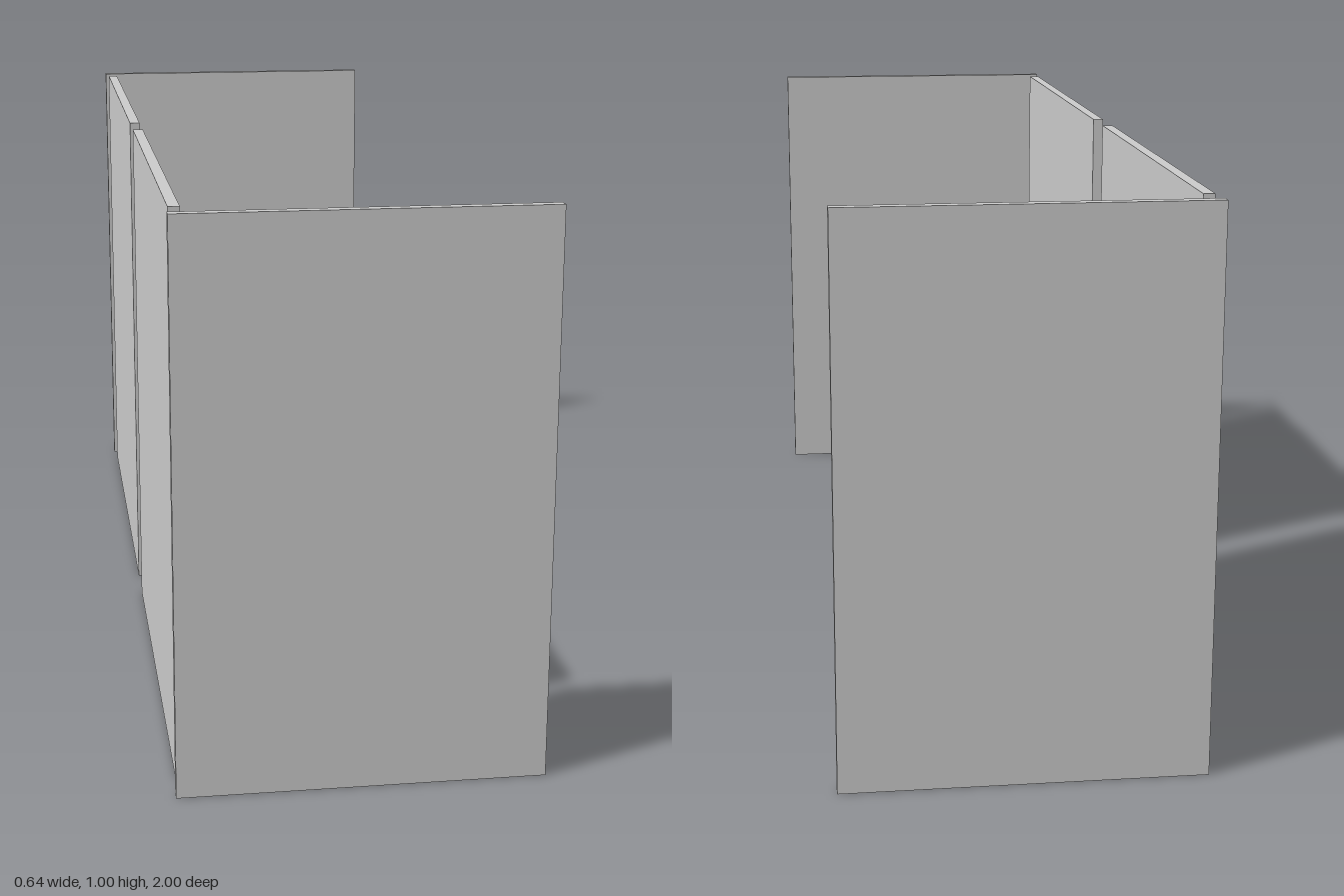
import * as THREE from 'three';

const HEIGHT = 1.0;
const THICKNESS = 0.02;
const material = new THREE.MeshStandardMaterial({ color: 0xcccccc });

// Upright panel standing on the ground, given its x and z extents
function panel(name, x0, x1, z0, z1) {
  const mesh = new THREE.Mesh(new THREE.BoxGeometry(x1 - x0, HEIGHT, z1 - z0), material);
  mesh.name = name;
  mesh.position.set((x0 + x1) / 2, HEIGHT / 2, (z0 + z1) / 2);
  return mesh;
}

export function createModel() {
  const group = new THREE.Group();
  group.name = 'panelScreen';

  // End panels, lying across x at both extremes of z
  group.add(panel('frontEndPanel', -0.32, 0.32, 1 - THICKNESS, 1));
  group.add(panel('backEndPanel', -0.32, 0.32, -1, -1 + THICKNESS));

  // Two long wall panels along z, with a gap between them
  const wallX = -0.315;
  group.add(panel('frontWallPanel', wallX, wallX + THICKNESS, 0.045, 0.935));
  group.add(panel('backWallPanel', wallX, wallX + THICKNESS, -0.935, -0.055));

  return group;
}
